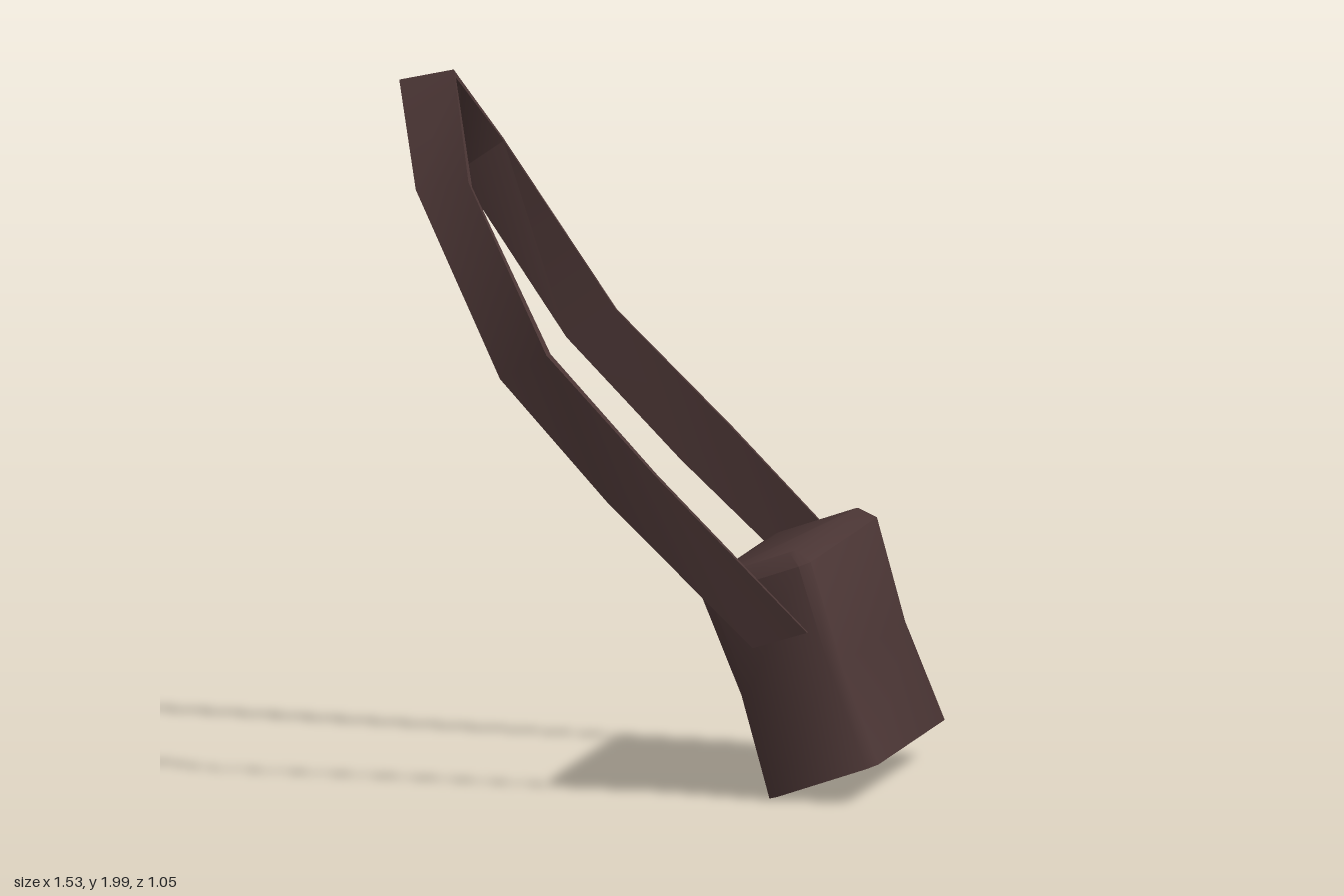
import * as THREE from 'three';
import { toCreasedNormals } from 'three/addons/utils/BufferGeometryUtils.js';

const V = (x, y, z) => new THREE.Vector3(x, y, z);

// Skin a series of equal-sized rings (counterclockwise about the path) and cap both ends
function loft(rings, crease) {
  const n = rings[0].length;
  const positions = rings.flat().flatMap((p) => p.toArray());
  const index = [];
  for (let i = 0; i < rings.length - 1; i++) {
    for (let j = 0; j < n; j++) {
      const a = i * n + j, b = i * n + ((j + 1) % n);
      index.push(a, b, b + n, a, b + n, a + n);
    }
  }
  const last = (rings.length - 1) * n;
  for (let j = 1; j < n - 1; j++) {
    index.push(0, j + 1, j, last, last + j, last + j + 1);
  }
  const geometry = new THREE.BufferGeometry();
  geometry.setAttribute('position', new THREE.Float32BufferAttribute(positions, 3));
  geometry.setIndex(index);
  return toCreasedNormals(geometry, crease);
}

// Tilted bag body: rounded-corner rectangles, slightly pinched at the waist
function bodyGeometry() {
  const tilt = 0.331;
  const across = V(Math.cos(tilt), Math.sin(tilt), 0);
  const up = V(-Math.sin(tilt), Math.cos(tilt), 0);
  const base = V(0.6, 0.065, -0.025);
  const levels = [ // height, half thickness, half width, corner cut
    [0, 0.169, 0.45, 0.03],
    [0.305, 0.155, 0.433, 0.03],
    [0.612, 0.169, 0.45, 0.03],
    [0.656, 0.131, 0.412, 0.015],
  ];
  const rings = levels.map(([h, t, w, c]) => [
    [-t + c, w], [t - c, w], [t, w - c], [t, -w + c],
    [t - c, -w], [-t + c, -w], [-t, -w + c], [-t, w - c],
  ].map(([u, z]) => base.clone().addScaledVector(up, h).addScaledVector(across, u).add(V(0, 0, z))));
  return loft(rings, 0.95);
}

// Flat strap looping from the front side of the bag over to the back side
function strapGeometry() {
  const stations = [ // outer upper edge, outer lower edge
    [V(0.56, 0.5, 0.437), V(0.4, 0.45, 0.437)],
    [V(0.12, 0.94, 0.455), V(-0.02, 0.86, 0.46)],
    [V(-0.185, 1.29, 0.523), V(-0.33, 1.21, 0.483)],
    [V(-0.48, 1.735, 0.235), V(-0.64, 1.705, 0.212)],
    [V(-0.61, 2.0, -0.14), V(-0.77, 1.965, -0.14)],
    [V(-0.635, 1.95, -0.315), V(-0.77, 1.9, -0.29)],
    [V(-0.55, 1.75, -0.503), V(-0.68, 1.66, -0.483)],
    [V(-0.22, 1.26, -0.525), V(-0.36, 1.18, -0.5)],
    [V(0.12, 0.94, -0.505), V(-0.02, 0.84, -0.488)],
    [V(0.56, 0.5, -0.487), V(0.4, 0.45, -0.487)],
  ];
  const last = stations.length - 1;
  const mid = (i) => stations[i][0].clone().add(stations[i][1]).multiplyScalar(0.5);
  const rings = stations.map(([a, b], i) => {
    const before = mid(i).sub(mid(Math.max(i - 1, 0))).normalize();
    const after = mid(Math.min(i + 1, last)).sub(mid(i)).normalize();
    const inward = before.add(after).cross(a.clone().sub(b)).normalize();
    const thick = i === 0 || i === last ? 0.012 : 0.026;
    return [a, a.clone().addScaledVector(inward, thick), b.clone().addScaledVector(inward, thick), b];
  });
  return loft(rings, 0.7);
}

export function createModel() {
  const leather = new THREE.MeshStandardMaterial({ color: 0x4a3534 });
  leather.name = 'dark brown leather';

  const model = new THREE.Group();
  model.name = 'shoulderBag';
  const parts = { bagBody: bodyGeometry(), shoulderStrap: strapGeometry() };
  for (const [name, geometry] of Object.entries(parts)) {
    const mesh = new THREE.Mesh(geometry, leather);
    mesh.name = name;
    model.add(mesh);
  }
  return model;
}
